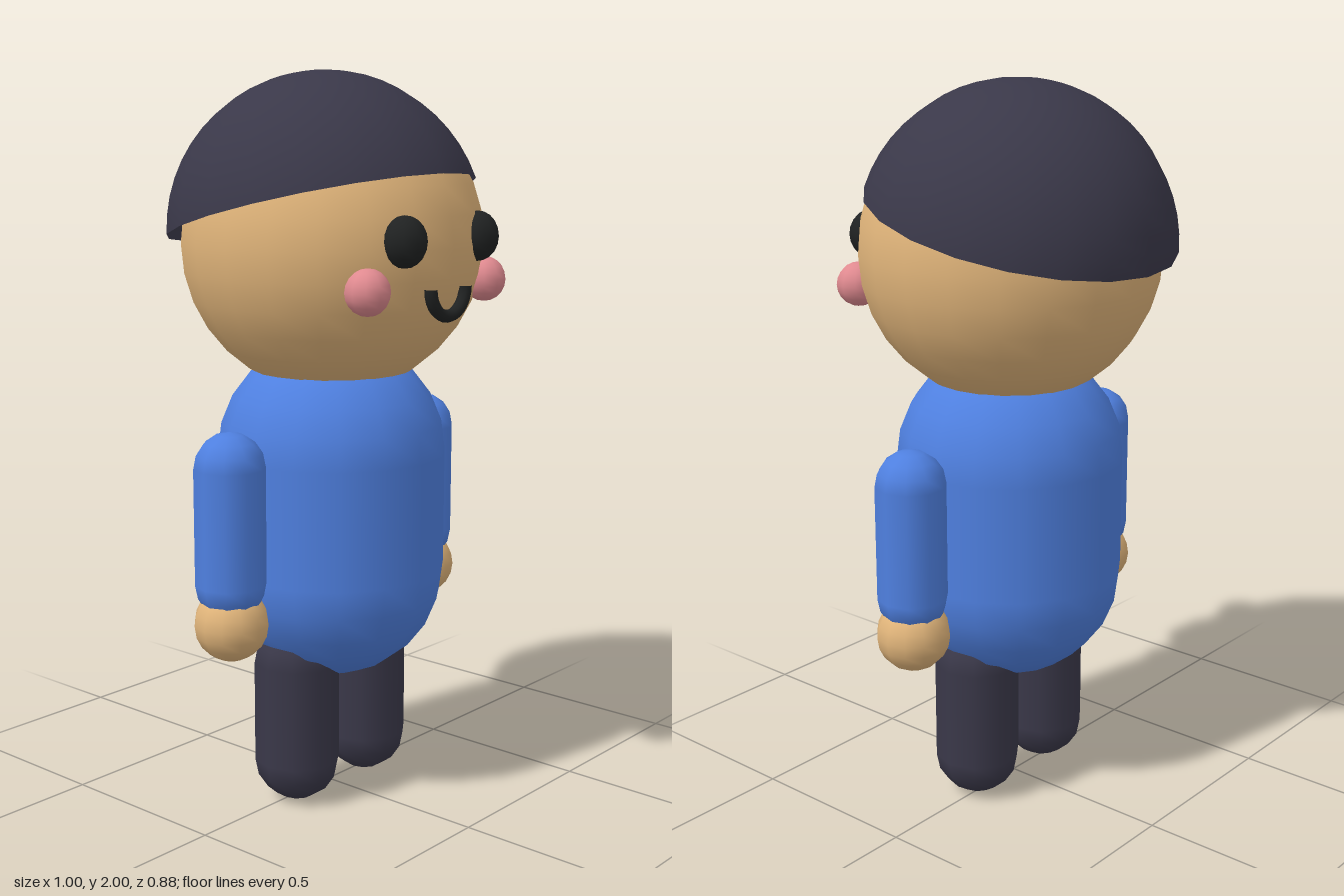
import * as THREE from 'three';

const mat = (name, color) => {
  const m = new THREE.MeshStandardMaterial({ color });
  m.name = name;
  return m;
};

export function createModel() {
  const skin = mat('skin', 0xe0b47a);
  const shirt = mat('blue shirt', 0x4f80e0);
  const dark = mat('dark hair and trousers', 0x3a3849);
  dark.side = THREE.DoubleSide; // the hair is an open shell
  const black = mat('black features', 0x202222);
  const pink = mat('pink cheeks', 0xe08a90);

  const model = new THREE.Group();
  model.name = 'character';
  const Z = 0.012; // depth of the body's axis

  const add = (name, geometry, material, x, y, z = Z) => {
    const mesh = new THREE.Mesh(geometry, material);
    mesh.name = name;
    mesh.position.set(x, y, z);
    model.add(mesh);
    return mesh;
  };

  // Torso and head
  add('torso', new THREE.CapsuleGeometry(0.315, 0.32, 6, 16), shirt, 0, 0.815);
  add('head', new THREE.SphereGeometry(0.41, 20, 16), skin, 0, 1.55);

  // Hair cap, tilted back
  const hair = add('hair',
    new THREE.SphereGeometry(0.43, 20, 12, 0, Math.PI * 2, 0, Math.PI * 0.452),
    dark, 0, 1.572, -0.012);
  hair.rotation.x = -0.245;

  // Smile
  const mouth = add('mouth', new THREE.TorusGeometry(0.073, 0.017, 8, 14, Math.PI), black, 0, 1.45, 0.406);
  mouth.rotation.z = Math.PI;

  // Mirrored parts
  for (const [side, s] of [['left', 1], ['right', -1]]) {
    add(side + 'Arm', new THREE.CapsuleGeometry(0.095, 0.31, 4, 10), shirt, s * 0.402, 0.833);
    add(side + 'Hand', new THREE.SphereGeometry(0.1, 12, 10), skin, s * 0.402, 0.57);
    add(side + 'Leg', new THREE.CapsuleGeometry(0.12, 0.28, 4, 10), dark, s * 0.146, 0.262);
    add(side + 'Eye', new THREE.SphereGeometry(0.06, 10, 10), black, s * 0.152, 1.573, 0.383).scale.y = 1.1;
    add(side + 'Cheek', new THREE.SphereGeometry(0.06, 10, 10), pink, s * 0.245, 1.452, 0.342);
  }
  return model;
}
